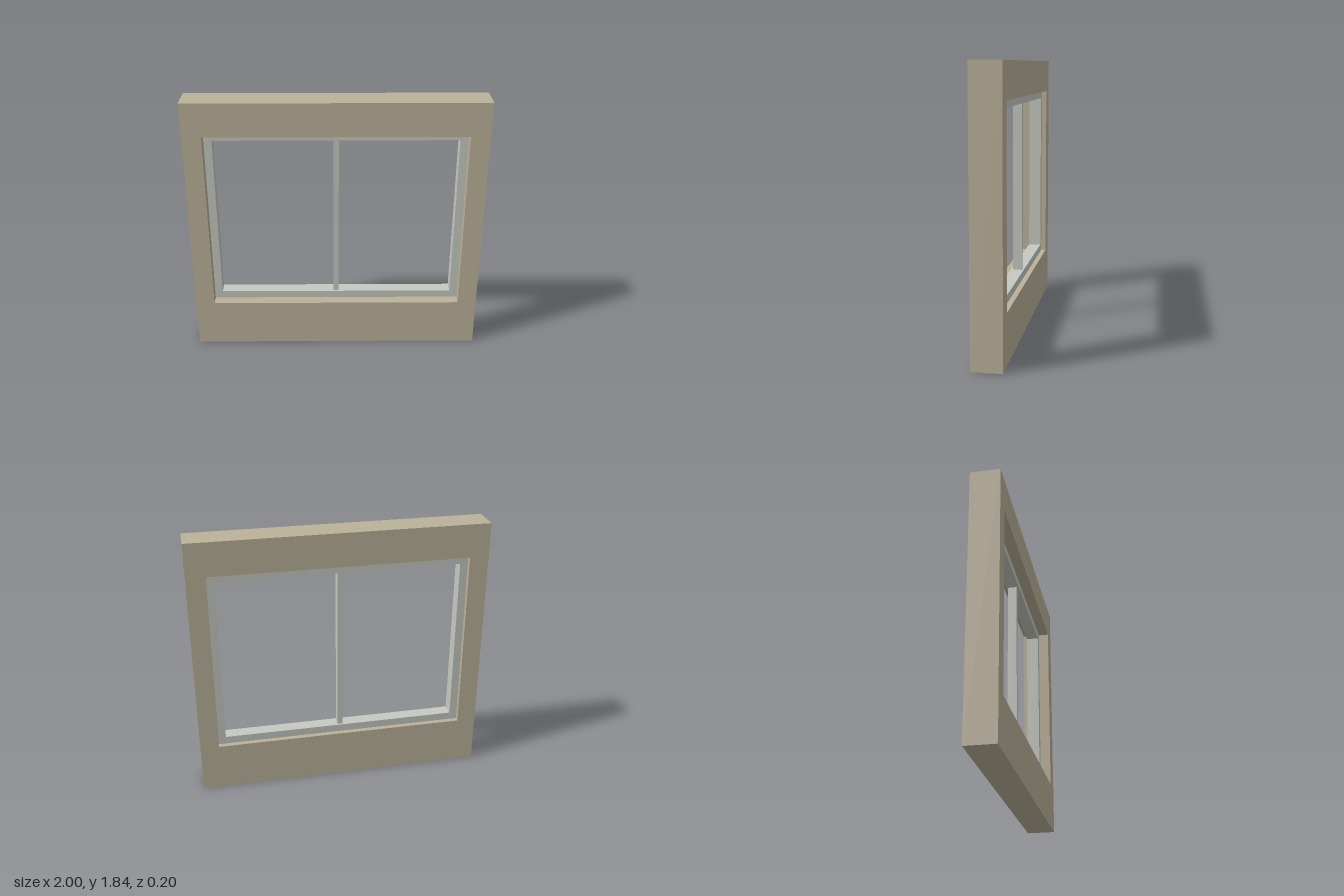
import * as THREE from 'three';

// Rectangle outline as a list of points
function rect(x0, y0, x1, y1) {
  return [[x0, y0], [x1, y0], [x1, y1], [x0, y1]].map(([x, y]) => new THREE.Vector2(x, y));
}

// Rectangular ring between two outlines, spanning zBack to zFront
function ring(name, outer, inner, zBack, zFront, material) {
  const shape = new THREE.Shape(rect(...outer));
  shape.holes.push(new THREE.Path(rect(...inner)));
  const geometry = new THREE.ExtrudeGeometry(shape, { depth: zFront - zBack, bevelEnabled: false });
  geometry.translate(0, 0, zBack);
  const mesh = new THREE.Mesh(geometry, material);
  mesh.name = name;
  return mesh;
}

export function createModel() {
  const group = new THREE.Group();
  group.name = 'windowWall';

  const plaster = new THREE.MeshStandardMaterial({ color: 0xbcb29a });
  plaster.name = 'beige plaster';
  const metal = new THREE.MeshStandardMaterial({ color: 0xc6c9c1 });
  metal.name = 'pale grey metal';

  const opening = [-0.87, 0.335, 0.87, 1.605];
  const daylight = [-0.817, 0.388, 0.817, 1.552];

  // Wall panel with the window opening
  group.add(ring('wall', [-1, 0, 1, 1.835], opening, -0.1, 0.1, plaster));

  // Window frame, set back further from the front than from the back
  group.add(ring('windowFrame', opening, daylight, -0.065, 0.025, metal));

  // Central mullion, slimmer than the frame
  const height = daylight[3] - daylight[1];
  const mullion = new THREE.Mesh(new THREE.BoxGeometry(0.036, height, 0.064), metal);
  mullion.name = 'mullion';
  mullion.position.set(0, daylight[1] + height / 2, -0.02);
  group.add(mullion);

  return group;
}
